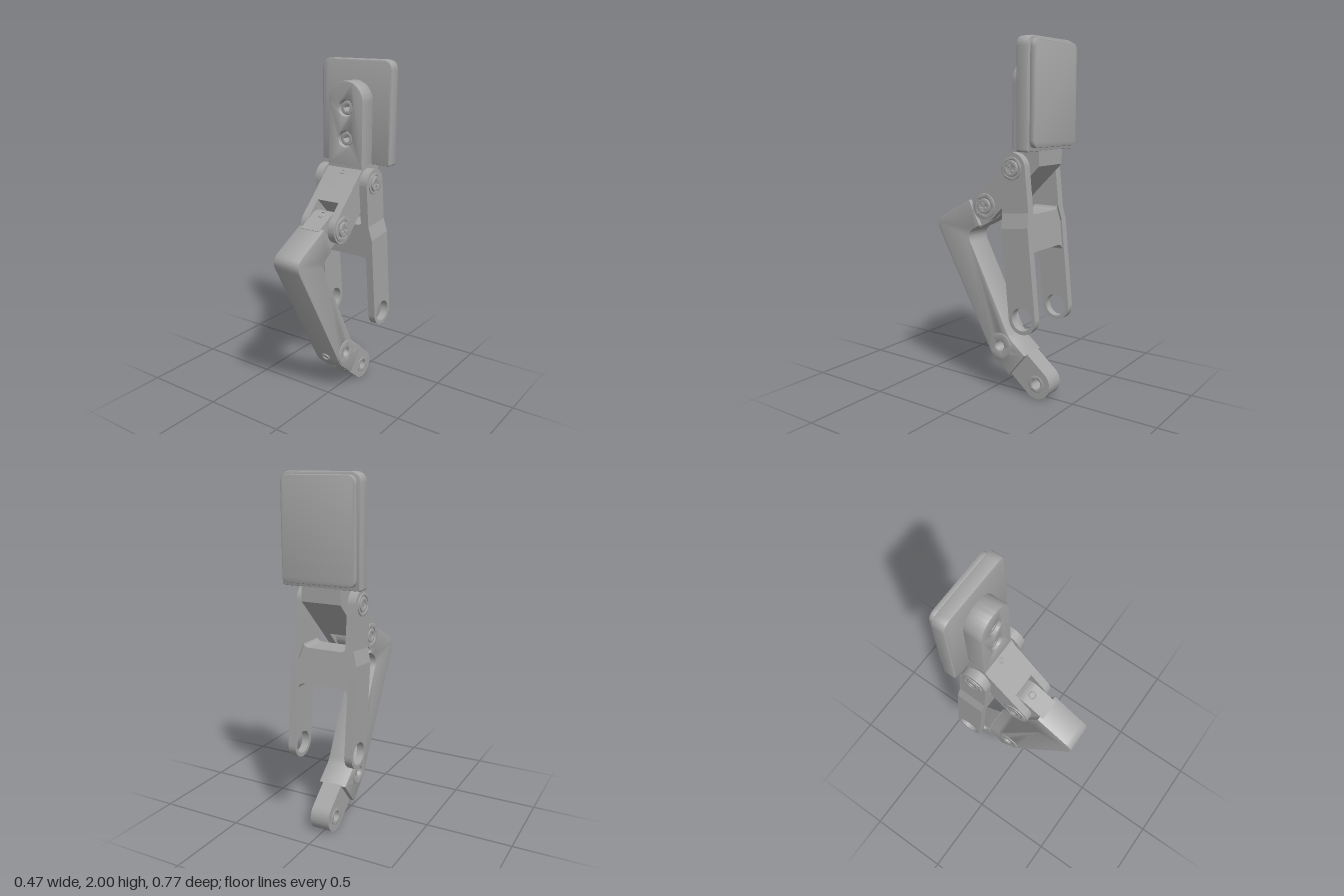
import * as THREE from 'three';
import { toCreasedNormals } from 'three/addons/utils/BufferGeometryUtils.js';

const metal = new THREE.MeshStandardMaterial({ color: 0xa4a4a4 });
metal.name = 'satinGrey';

// Pivot points as [z, y]
const TIP_PIVOT = [-0.206, 1.317], KNUCKLE = [0.02, 1.09];
const FORK_EYE = [-0.29, 0.503], LOW_EYE = [-0.065, 0.28], END_EYE = [-0.296, 0.09];

function add(parent, name, geometry) {
  const mesh = new THREE.Mesh(geometry, metal);
  mesh.name = name;
  parent.add(mesh);
  return mesh;
}

const circle = (c, r) => new THREE.Path().absarc(c[0], c[1], r, 0, Math.PI * 2, true);

function extrude(shape, depth, bevel = 0) {
  return new THREE.ExtrudeGeometry(shape, {
    depth: depth - 2 * bevel, curveSegments: 20, bevelEnabled: bevel > 0,
    bevelThickness: bevel, bevelSize: bevel, bevelOffset: -bevel, bevelSegments: 2,
  }).translate(0, 0, bevel);
}

// Extrudes a (z, y) outline sideways between x0 and x1
function sideways(shape, x0, x1, bevel = 0) {
  const lo = Math.min(x0, x1), hi = Math.max(x0, x1);
  const g = extrude(shape, hi - lo, bevel).rotateY(-Math.PI / 2).translate(hi, 0, 0);
  return toCreasedNormals(g, 0.5);
}

// Polygon whose corners [u, v, d] are rounded off over distance d
function polygon(points) {
  const shape = new THREE.Shape();
  const n = points.length;
  points.forEach(([u, v, d = 0], i) => {
    const p = new THREE.Vector2(u, v);
    const toward = (q) => new THREE.Vector2(q[0], q[1]).sub(p).setLength(d).add(p);
    const a = d ? toward(points[(i + n - 1) % n]) : p;
    if (i === 0) shape.moveTo(a.x, a.y); else shape.lineTo(a.x, a.y);
    if (d) {
      const b = toward(points[(i + 1) % n]);
      shape.quadraticCurveTo(u, v, b.x, b.y);
    }
  });
  shape.closePath();
  return shape;
}

// Round-ended lug around c, running for a length along angle t to a flat end
function lug(c, t, r, length, holes = []) {
  const shape = new THREE.Shape();
  const dz = Math.cos(t) * length, dy = Math.sin(t) * length;
  shape.absarc(c[0], c[1], r, t + Math.PI / 2, t + Math.PI * 1.5, false);
  shape.lineTo(c[0] + r * Math.sin(t) + dz, c[1] - r * Math.cos(t) + dy);
  shape.lineTo(c[0] - r * Math.sin(t) + dz, c[1] + r * Math.cos(t) + dy);
  shape.closePath();
  shape.holes.push(...holes);
  return shape;
}

function ring(c, outer, inner) {
  const shape = new THREE.Shape().absarc(c[0], c[1], outer, 0, Math.PI * 2, false);
  if (inner) shape.holes.push(circle(c, inner));
  return shape;
}

const angle = (a, b) => Math.atan2(b[1] - a[1], b[0] - a[0]);

// Fixing with washer and cross-recess head on the left, plain end on the right
function addPin(parent, name, c, x, washer) {
  const pin = new THREE.Group();
  pin.name = name;
  parent.add(pin);
  add(pin, 'shaft', sideways(ring(c, 0.045), -x, x));
  for (const s of [-1, 1]) {
    add(pin, 'washer', sideways(ring(c, washer, 0.047), s * (x - 0.002), s * (x + 0.006), 0.002));
  }
  const a = 0.007, b = 0.027;
  const cross = [[a, a], [a, b], [-a, b], [-a, a], [-b, a], [-b, -a], [-a, -a], [-a, -b], [a, -b], [a, -a], [b, -a], [b, a]];
  const head = ring(c, 0.044);
  head.holes.push(new THREE.Path(cross.map(([u, v]) => new THREE.Vector2(c[0] + u, c[1] + v))));
  add(pin, 'crossHead', sideways(head, x - 0.002, x + 0.013, 0.003));
  add(pin, 'plainEnd', sideways(ring(c, 0.04, 0.02), -x - 0.006, -x + 0.002, 0.002));
}

// Pad plate, grip pad and mounting block with two socket screws
function buildPad(parent) {
  const pad = new THREE.Group();
  pad.name = 'pad';
  parent.add(pad);
  const w = 0.235;
  const plate = polygon([[-w, 1.41, 0.012], [w, 1.41, 0.012], [w, 2, 0.06], [-w, 2, 0.06]]);
  add(pad, 'padPlate', toCreasedNormals(extrude(plate, 0.073, 0.009), 0.5)).position.z = -0.343;
  const v = 0.216;
  const grip = polygon([[-v, 1.43, 0.04], [v, 1.43, 0.04], [v, 1.985, 0.05], [-v, 1.985, 0.05]]);
  add(pad, 'gripPad', toCreasedNormals(extrude(grip, 0.032, 0.007), 0.5)).position.z = -0.372;

  const screws = [1.735, 1.56];
  const block = lug([0, 1.77], -Math.PI / 2, 0.116, 0.37, screws.map((y) => circle([0, y], 0.047)));
  add(pad, 'mountBlock', toCreasedNormals(extrude(block, 0.107, 0.004), 0.5)).position.z = -0.272;
  for (const y of screws) {
    const head = ring([0, 0], 0.04);
    head.holes.push(new THREE.Path(Array.from({ length: 6 }, (_, i) =>
      new THREE.Vector2(0.02 * Math.cos(i * Math.PI / 3), 0.02 * Math.sin(i * Math.PI / 3)))));
    add(pad, 'socketScrew', toCreasedNormals(extrude(head, 0.09, 0.004), 0.5)).position.set(0, y, -0.27);
  }
}

// Slanted arm below the pad, ending in two cheeks around the knuckle
function buildArm(parent) {
  const arm = new THREE.Group();
  arm.name = 'upperArm';
  parent.add(arm);
  const body = polygon([[-0.34, 1.33], [-0.12, 1.11], [0, 1.23], [-0.165, 1.395], [-0.165, 1.412], [-0.34, 1.412]]);
  add(arm, 'armBody', sideways(body, -0.117, 0.117));
  for (const s of [-1, 1]) {
    add(arm, 'armCheek', sideways(lug(KNUCKLE, Math.PI * 0.75, 0.085, 0.115), s * 0.072, s * 0.117));
  }
  const lip = add(arm, 'armHoleRim', new THREE.TorusGeometry(0.013, 0.004, 8, 20));
  lip.position.set(0, 1.375, -0.145);
  lip.rotation.x = -Math.PI / 4;
}

// Bent lower link with knuckle neck and stepped lower end
function buildLink(parent) {
  const link = new THREE.Group();
  link.name = 'lowerLink';
  parent.add(link);
  const body = polygon([
    [0.155, 1.112], [0.08, 0.968], [0.176, 0.917, 0.065], [-0.128, 0.335, 0.03],
    [-0.235, 0.25], [-0.127, 0.117], [-0.01, 0.212, 0.04], [0.409, 0.973, 0.07],
  ]);
  body.holes.push(circle(LOW_EYE, 0.03));
  add(link, 'linkBody', sideways(body, -0.085, 0.085, 0.004));
  add(link, 'linkNeck', sideways(lug(KNUCKLE, -0.49, 0.085, 0.13), -0.062, 0.062));
  add(link, 'linkEnd', sideways(lug(END_EYE, angle(END_EYE, LOW_EYE), 0.087, 0.155, [circle(END_EYE, 0.03)]), -0.058, 0.058));
  for (const s of [-1, 1]) {
    add(link, 'eyeBush', sideways(ring(LOW_EYE, 0.075, 0.03), s * 0.083, s * 0.09, 0.002));
    add(link, 'endBush', sideways(ring(END_EYE, 0.05, 0.03), s * 0.056, s * 0.061, 0.001));
  }
  const neckRim = add(link, 'neckHoleRim', new THREE.TorusGeometry(0.02, 0.004, 8, 20));
  neckRim.position.set(0, 1.166, 0.06);
  neckRim.rotation.x = -1.08;
  const lowRim = add(link, 'setScrewRim', new THREE.TorusGeometry(0.024, 0.005, 8, 20));
  lowRim.position.set(0, 0.257, 0.022);
  lowRim.rotation.x = 0.5;
}

// Fork with two cranked arms joined by a bridge
function buildFork(parent) {
  const fork = new THREE.Group();
  fork.name = 'fork';
  parent.add(fork);
  const down = angle(TIP_PIVOT, FORK_EYE), r = 0.085;
  const span = Math.hypot(FORK_EYE[0] - TIP_PIVOT[0], FORK_EYE[1] - TIP_PIVOT[1]);
  const at = (d, side) => [
    TIP_PIVOT[0] + d * Math.cos(down) - side * r * Math.sin(down),
    TIP_PIVOT[1] + d * Math.sin(down) + side * r * Math.cos(down),
  ];
  const bend0 = 0.24, bend1 = 0.32;
  for (const s of [-1, 1]) {
    add(fork, 'forkUpperArm', sideways(lug(TIP_PIVOT, down, r, bend0), s * 0.13, s * 0.18));
    const holes = [circle(FORK_EYE, 0.064), circle([-0.265, 0.725], 0.022)];
    add(fork, 'forkLowerArm', sideways(lug(FORK_EYE, down + Math.PI, r, span - bend1, holes), s * 0.155, s * 0.2));
    // Cranked piece between the two straight ones
    const crank = sideways(polygon([at(bend0, 1), at(bend0, -1), at(bend1, -1), at(bend1, 1)]), s * 0.13, s * 0.18);
    const p = crank.attributes.position;
    for (let i = 0; i < p.count; i++) {
      if (p.getY(i) < 1.037) p.setX(i, s * (Math.abs(p.getX(i)) > 0.15 ? 0.2 : 0.155));
    }
    crank.computeVertexNormals();
    add(fork, 'forkCrank', crank);
    add(fork, 'spacer', sideways(ring(TIP_PIVOT, 0.06), s * 0.115, s * 0.132));
  }

  // Bridge with filleted corners, leaning along the arms
  const w = 0.158, u = 0.134, web = new THREE.Shape();
  web.moveTo(-w, 0.82);
  web.quadraticCurveTo(-w, 0.87, -w + 0.05, 0.87);
  web.lineTo(w - 0.05, 0.87);
  web.quadraticCurveTo(w, 0.87, w, 0.82);
  web.lineTo(w, 1.0);
  web.lineTo(u, 1.07);
  web.lineTo(u, 1.11);
  web.quadraticCurveTo(u, 1.07, u - 0.04, 1.07);
  web.lineTo(-u + 0.04, 1.07);
  web.quadraticCurveTo(-u, 1.07, -u, 1.11);
  web.lineTo(-u, 1.07);
  web.lineTo(-w, 1.0);
  web.closePath();
  const bridge = extrude(web, 0.15).translate(0, 0, -0.075);
  const q = bridge.attributes.position;
  for (let i = 0; i < q.count; i++) q.setZ(i, q.getZ(i) - 0.242 + (q.getY(i) - 0.97) * 0.103);
  add(fork, 'forkBridge', toCreasedNormals(bridge, 0.5));
}

export function createModel() {
  const model = new THREE.Group();
  model.name = 'roboticFinger';
  buildPad(model);
  buildArm(model);
  buildLink(model);
  buildFork(model);
  addPin(model, 'tipPin', TIP_PIVOT, 0.18, 0.063);
  addPin(model, 'knucklePin', KNUCKLE, 0.117, 0.073);
  return model;
}
